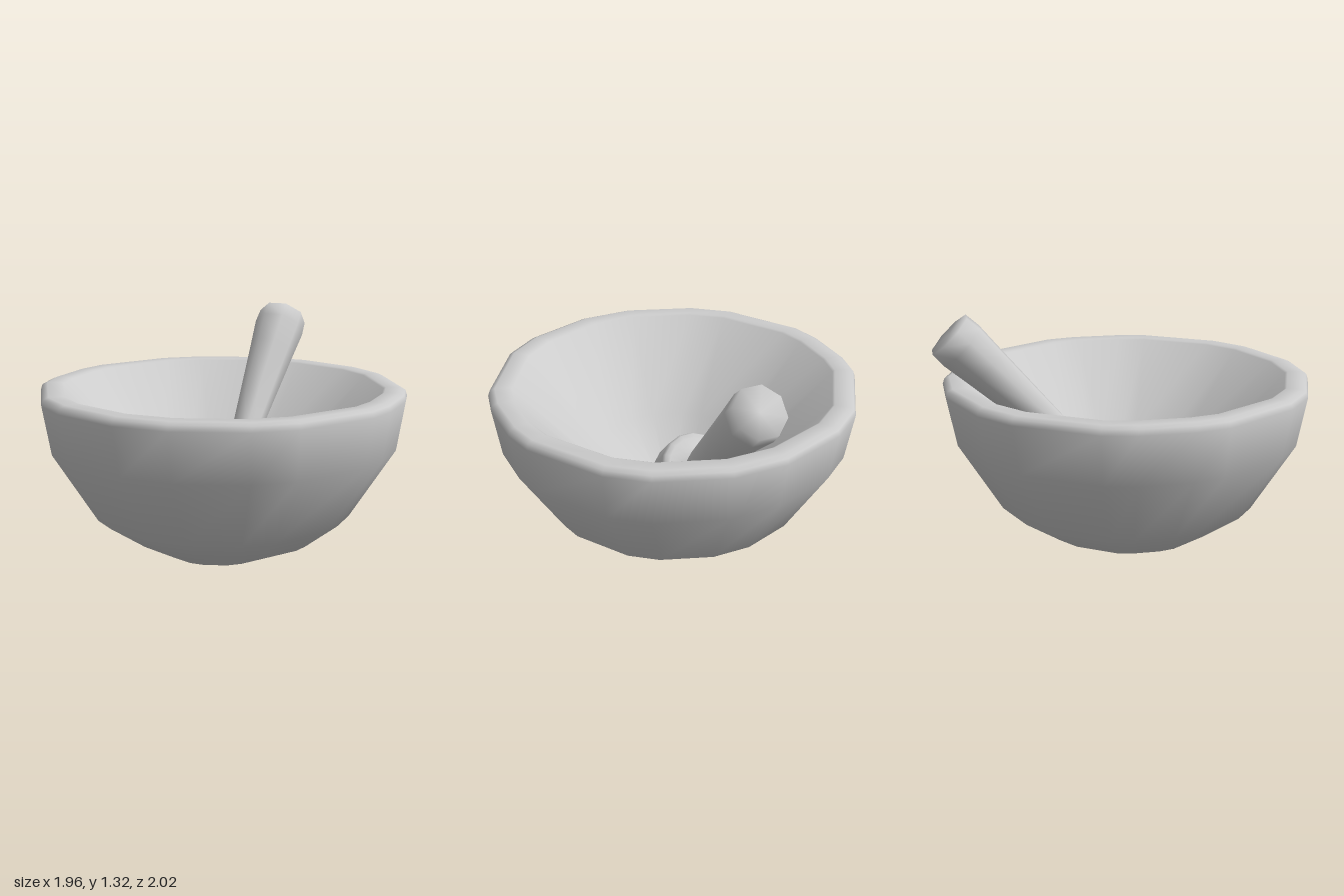
import * as THREE from 'three';
import { toCreasedNormals } from 'three/addons/utils/BufferGeometryUtils.js';

const material = new THREE.MeshStandardMaterial({ color: 0xcccccc });

// Uneven twenty-sided outline: one quarter as [x, z], mirrored around, counterclockwise from +z.
const quarter = [[0.145, 0.982], [0.515, 0.85], [0.703, 0.703], [0.945, 0.315], [0.982, 0.145]];
const mirrored = (sx, sz, flip) => {
  const pts = quarter.map(([x, z]) => [(x * sx) / 0.982, (z * sz) / 0.982]);
  return flip ? pts.reverse() : pts;
};
const outline = [
  ...mirrored(1, 1, false),
  ...mirrored(1, -1, true),
  ...mirrored(-1, -1, false),
  ...mirrored(-1, 1, true),
];

// Skin a stack of scaled outlines, each [height, half width, half depth].
function loft(rings) {
  const n = outline.length;
  const positions = [];
  const index = [];
  for (const [y, sx, sz] of rings) {
    for (const [x, z] of outline) positions.push(x * sx, y, z * sz);
  }
  for (let i = 0; i < rings.length - 1; i++) {
    for (let j = 0; j < n; j++) {
      const a = i * n + j;
      const b = i * n + ((j + 1) % n);
      // Rings of zero width are closed centres: one triangle per side is enough.
      if (rings[i][1] > 0) index.push(a, b, b + n);
      if (rings[i + 1][1] > 0) index.push(a, b + n, a + n);
    }
  }
  const geometry = new THREE.BufferGeometry();
  geometry.setAttribute('position', new THREE.Float32BufferAttribute(positions, 3));
  geometry.setIndex(index);
  return toCreasedNormals(geometry, 1.0);
}

function turned(name, profile, sides, crease) {
  const points = profile.map(([r, y]) => new THREE.Vector2(r, y));
  const geometry = new THREE.LatheGeometry(points, sides, Math.PI / sides);
  const mesh = new THREE.Mesh(toCreasedNormals(geometry, crease), material);
  mesh.name = name;
  return mesh;
}

export function createModel() {
  const model = new THREE.Group();
  model.name = 'mortarAndPestle';

  // Bowl: underside, outer wall, softened rim, then the funnel-like hollow
  const bowl = new THREE.Mesh(loft([
    [0, 0, 0],
    [0, 0.145, 0.155],
    [0.05, 0.3, 0.33],
    [0.135, 0.515, 0.475],
    [0.28, 0.7, 0.7],
    [0.66, 0.94, 0.93],
    [0.925, 0.982, 0.982],
    [0.955, 0.972, 0.972],
    [0.967, 0.945, 0.945],
    [0.967, 0.87, 0.87],
    [0.96, 0.857, 0.857],
    [0.51, 0.45, 0.45],
    [0.12, 0, 0],
  ]), material);
  bowl.name = 'bowl';
  bowl.position.z = 0.018;
  model.add(bowl);

  // Pestle: leans back over the rim
  const pestle = new THREE.Group();
  pestle.name = 'pestle';
  pestle.add(turned('pestleHead', [
    [0, 0], [0.196, 0], [0.196, 0.17], [0.185, 0.192], [0.16, 0.2], [0.11, 0.2], [0.075, 0.23], [0, 0.23],
  ], 16, 1.2));
  pestle.add(turned('pestleHandle', [
    [0.075, 0.2], [0.1, 0.5], [0.13, 0.85], [0.146, 1.02], [0.14, 1.108], [0, 1.108],
  ], 8, 1.7));
  pestle.position.set(0, 0.442, -0.141);
  pestle.rotation.x = -Math.PI / 4;
  model.add(pestle);

  return model;
}
